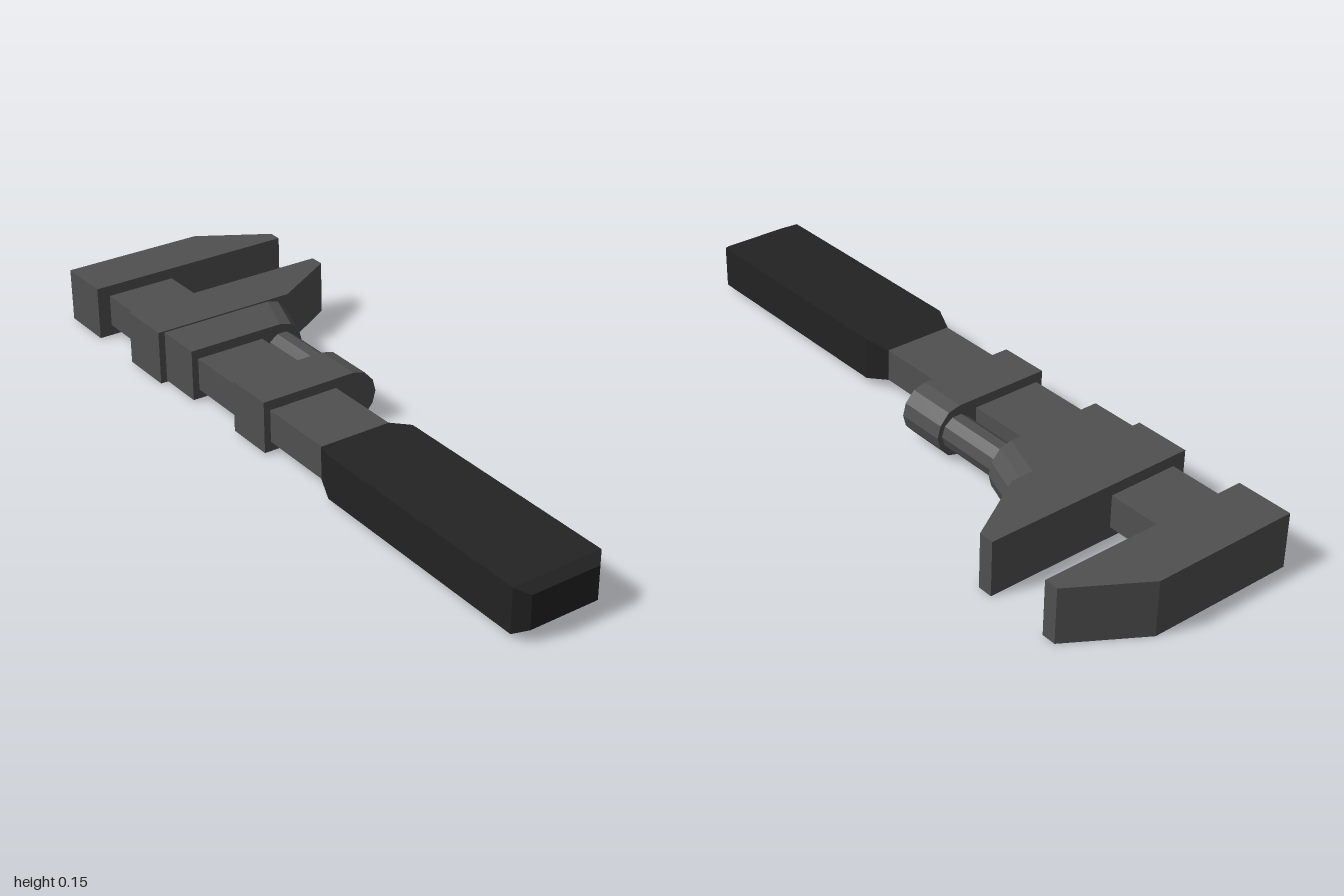
import * as THREE from 'three';
import { ConvexGeometry } from 'three/addons/geometries/ConvexGeometry.js';

const MID = 0.077; // height of the centre plane

export function createModel() {
  const group = new THREE.Group();
  const steel = new THREE.MeshStandardMaterial({ color: 0x505050 });
  steel.name = 'dark steel';
  const grip = new THREE.MeshStandardMaterial({ color: 0x232323 });
  grip.name = 'black grip';

  const add = (name, geometry, material) => {
    const mesh = new THREE.Mesh(geometry, material);
    mesh.name = name;
    group.add(mesh);
    return mesh;
  };

  // Jaw plate: outline in x and z, extruded through the height
  const jaw = (name, outline) => {
    const shape = new THREE.Shape(outline.map(([x, z]) => new THREE.Vector2(x, -z)));
    const geometry = new THREE.ExtrudeGeometry(shape, { depth: 0.154, bevelEnabled: false });
    add(name, geometry.rotateX(-Math.PI / 2), steel);
  };
  jaw('fixedJaw', [[-1, 0.307], [-0.84, 0.307], [-0.84, -0.308], [-0.88, -0.308], [-1, -0.112]]);
  jaw('slidingJaw', [[-0.66, 0.307], [-0.5, 0.307], [-0.5, -0.112], [-0.617, -0.308], [-0.66, -0.308]]);

  // Hull between cross-sections along x; each is [x, list of [half height, z]]
  const loft = (name, sections, material) => {
    const points = [];
    for (const [x, profile] of sections)
      for (const [h, z] of profile)
        for (const s of [1, -1]) points.push(new THREE.Vector3(x, MID + s * h, z));
    add(name, new ConvexGeometry(points), material);
  };

  // Collars: square at the front, rounded at the back
  const collarProfile = (back) => [
    [0.073, 0.288], [0.073, back + 0.071], [0.064, back + 0.036], [0.034, back + 0.009], [0, back],
  ];
  loft('slidingCollar', [[-0.5, collarProfile(-0.115)], [-0.36, collarProfile(-0.065)]], steel);
  loft('fixedCollar', [[-0.155, collarProfile(-0.061)], [-0.012, collarProfile(-0.061)]], steel);

  // Flat bar running from the fixed jaw into the handle
  const bar = add('bar', new THREE.BoxGeometry(1.14, 0.092, 0.204), steel);
  bar.position.set(-0.33, MID, 0.167);

  // Adjusting screw between the collars
  const screwGeometry = new THREE.CylinderGeometry(0.048, 0.048, 0.26, 10).toNonIndexed();
  screwGeometry.computeVertexNormals();
  const screw = add('adjustingScrew', screwGeometry.rotateZ(Math.PI / 2), steel);
  screw.position.set(-0.257, MID, 0.001);

  // Handle with chamfered ends
  const rect = (h, w) => [[h, 0.167 + w], [h, 0.167 - w]];
  loft('handle', [
    [0.215, rect(0.046, 0.103)], [0.28, rect(0.061, 0.128)],
    [0.97, rect(0.061, 0.128)], [1, rect(0.046, 0.098)],
  ], grip);

  return group;
}
